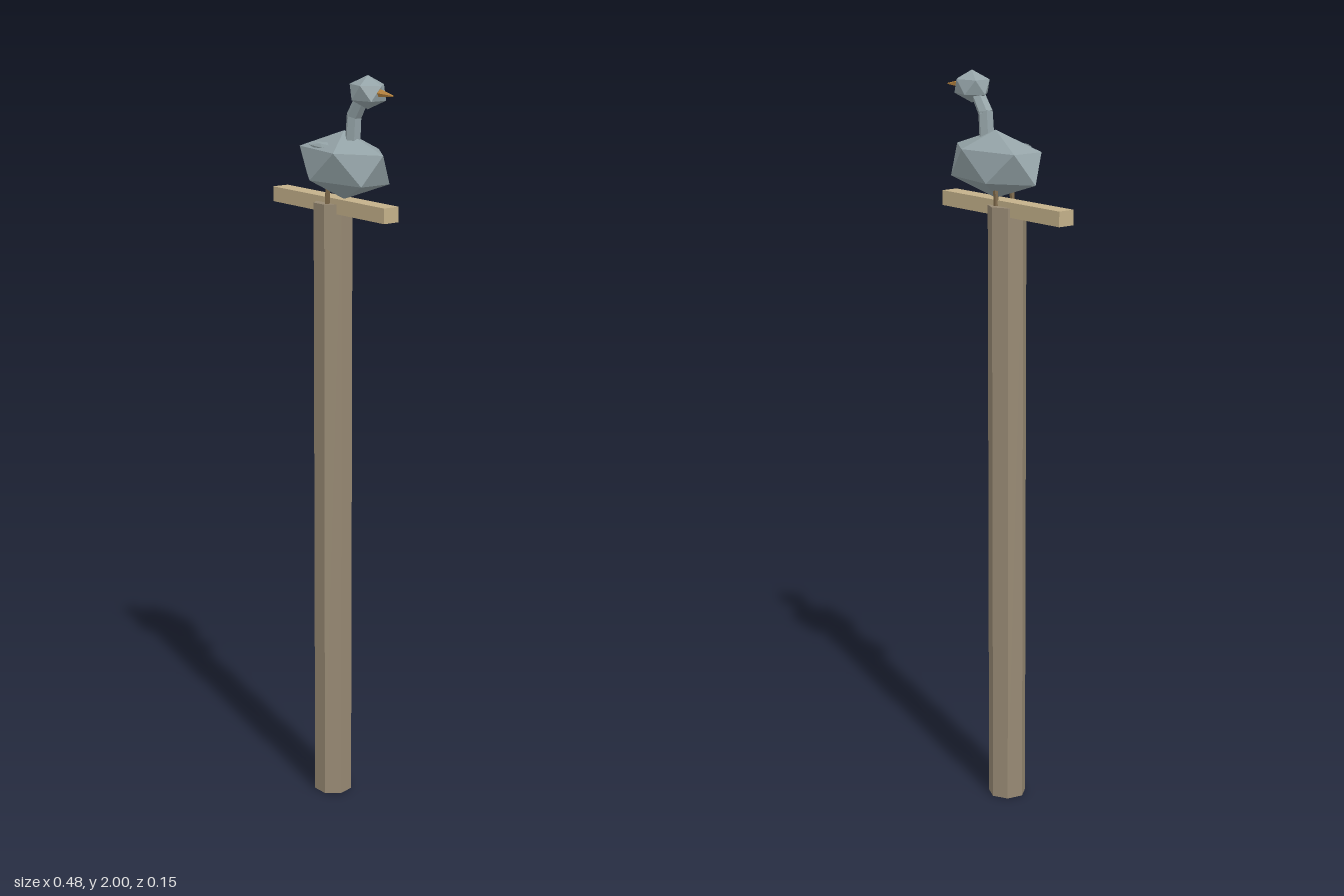
import * as THREE from 'three';
import { ConvexGeometry } from 'three/addons/geometries/ConvexGeometry.js';

const flat = (name, color) => {
  const m = new THREE.MeshStandardMaterial({ color, flatShading: true });
  m.name = name;
  return m;
};

// Twelve-point ball: two poles and two staggered five-point rings, with a top-ring corner at +x
function facetedBall(rx, ry, rz) {
  const pts = [new THREE.Vector3(0, ry, 0), new THREE.Vector3(0, -ry, 0)];
  for (let i = 0; i < 10; i++) {
    const a = (i * Math.PI) / 5;
    const y = (i % 2 ? -1 : 1) * ry * 0.447;
    pts.push(new THREE.Vector3(Math.cos(a) * rx, y, Math.sin(a) * rz));
  }
  return new ConvexGeometry(pts);
}

// Straight tapered rod between two points
function rod(a, b, r0, r1, sides) {
  const from = new THREE.Vector3(...a);
  const dir = new THREE.Vector3(...b).sub(from);
  const g = new THREE.CylinderGeometry(r1, r0, dir.length(), sides);
  g.translate(0, dir.length() / 2, 0);
  g.applyQuaternion(new THREE.Quaternion().setFromUnitVectors(new THREE.Vector3(0, 1, 0), dir.normalize()));
  return g.translate(...a);
}

export function createModel() {
  const group = new THREE.Group();
  const postWood = flat('postWood', 0x978973);
  const plankWood = flat('plankWood', 0xc4b18a);
  const feathers = flat('feathers', 0x95a4a8);
  const beakOrange = flat('beakOrange', 0xc08a42);
  const legBrown = flat('legBrown', 0x7d6849);

  const add = (name, geometry, material, x = 0, y = 0, z = 0) => {
    const mesh = new THREE.Mesh(geometry, material);
    mesh.name = name;
    mesh.position.set(x, y, z);
    group.add(mesh);
    return mesh;
  };

  // Seven-sided post and the perch plank across its top
  add('post', new THREE.CylinderGeometry(0.052, 0.052, 1.66, 7), postWood, -0.007, 0.83, -0.002).rotation.y = Math.PI;
  add('plank', new THREE.BoxGeometry(0.47, 0.04, 0.048), plankWood, -0.005, 1.655, -0.004);

  // Bird body, and a folded wing that only just breaks the surface
  add('body', facetedBall(0.159, 0.089, 0.079), feathers, 0.042, 1.763, 0);
  const wing = add('wing', facetedBall(0.055, 0.006, 0.012), feathers, 0.005, 1.813, 0.046);
  wing.rotation.x = 0.6;

  // Bent neck in two pieces
  add('lowerNeck', rod([0.077, 1.82, 0], [0.083, 1.898, 0], 0.021, 0.02, 6), feathers);
  add('upperNeck', rod([0.081, 1.89, 0], [0.122, 1.95, 0], 0.02, 0.018, 6), feathers);

  // Head and beak
  add('head', facetedBall(0.054, 0.043, 0.041), feathers, 0.138, 1.957, 0);
  add('beak', rod([0.178, 1.96, 0], [0.238, 1.956, 0], 0.012, 0.002, 5), beakOrange);

  // Legs either side of the plank
  for (const side of [-1, 1]) {
    add(side > 0 ? 'frontLeg' : 'backLeg',
      rod([0.006, 1.655, side * 0.028], [0.01, 1.73, side * 0.028], 0.007, 0.007, 5), legBrown);
  }
  return group;
}
